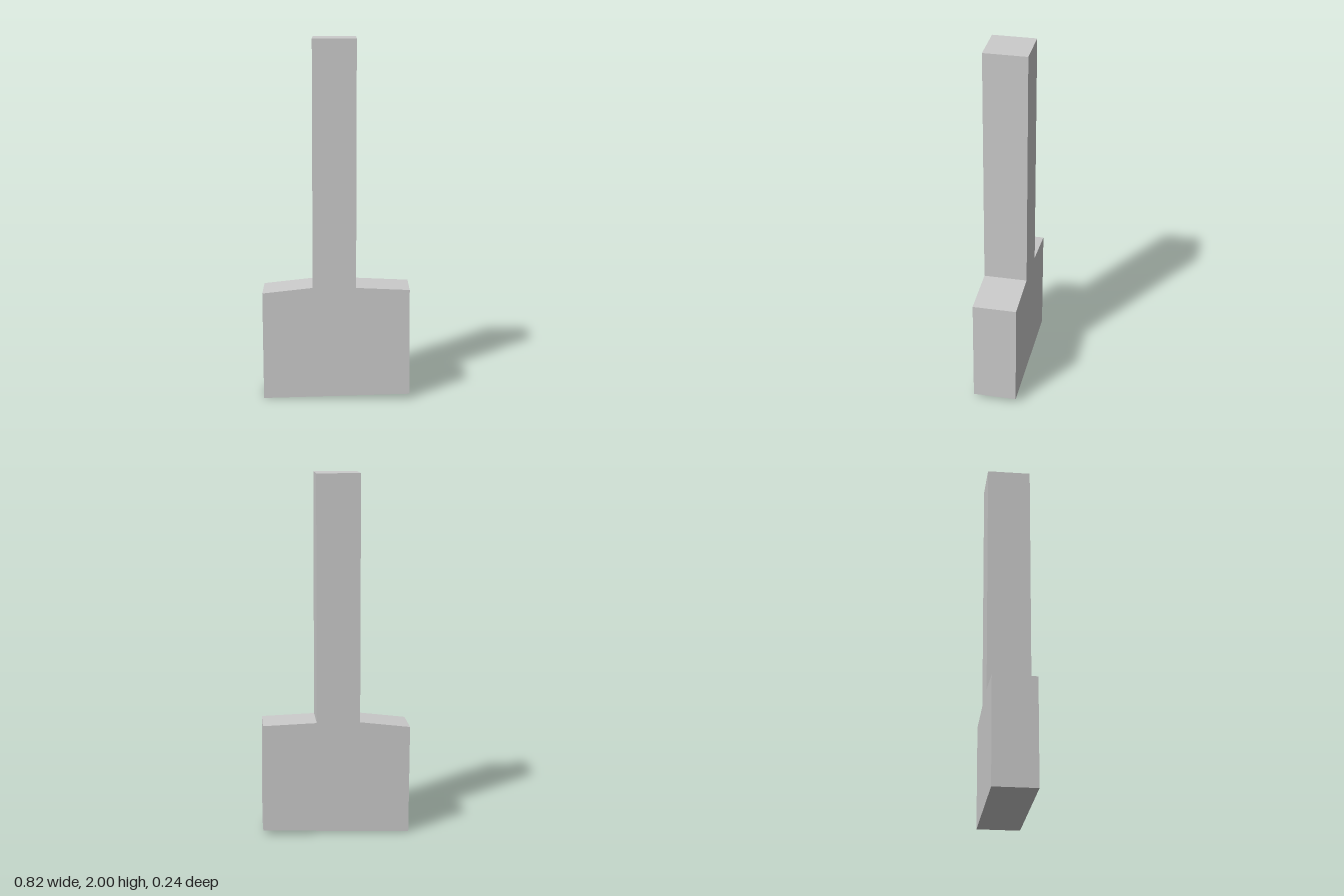
import * as THREE from 'three';

export function createModel() {
  const group = new THREE.Group();
  const depth = 0.242;

  // One continuous outline: slightly skewed block with a square post rising from it
  const outline = new THREE.Shape([
    [-0.406, 0], [0.408, 0.025], [0.404, 0.623], [0.108, 0.635],
    [0.108, 2], [-0.132, 2], [-0.132, 0.635], [-0.41, 0.603],
  ].map(([x, y]) => new THREE.Vector2(x, y)));

  const geometry = new THREE.ExtrudeGeometry(outline, { depth, bevelEnabled: false });
  geometry.translate(0, 0, -depth / 2);

  const material = new THREE.MeshStandardMaterial({ color: 0xcccccc, flatShading: true });
  const body = new THREE.Mesh(geometry, material);
  body.name = 'blockWithPost';
  group.add(body);
  return group;
}
